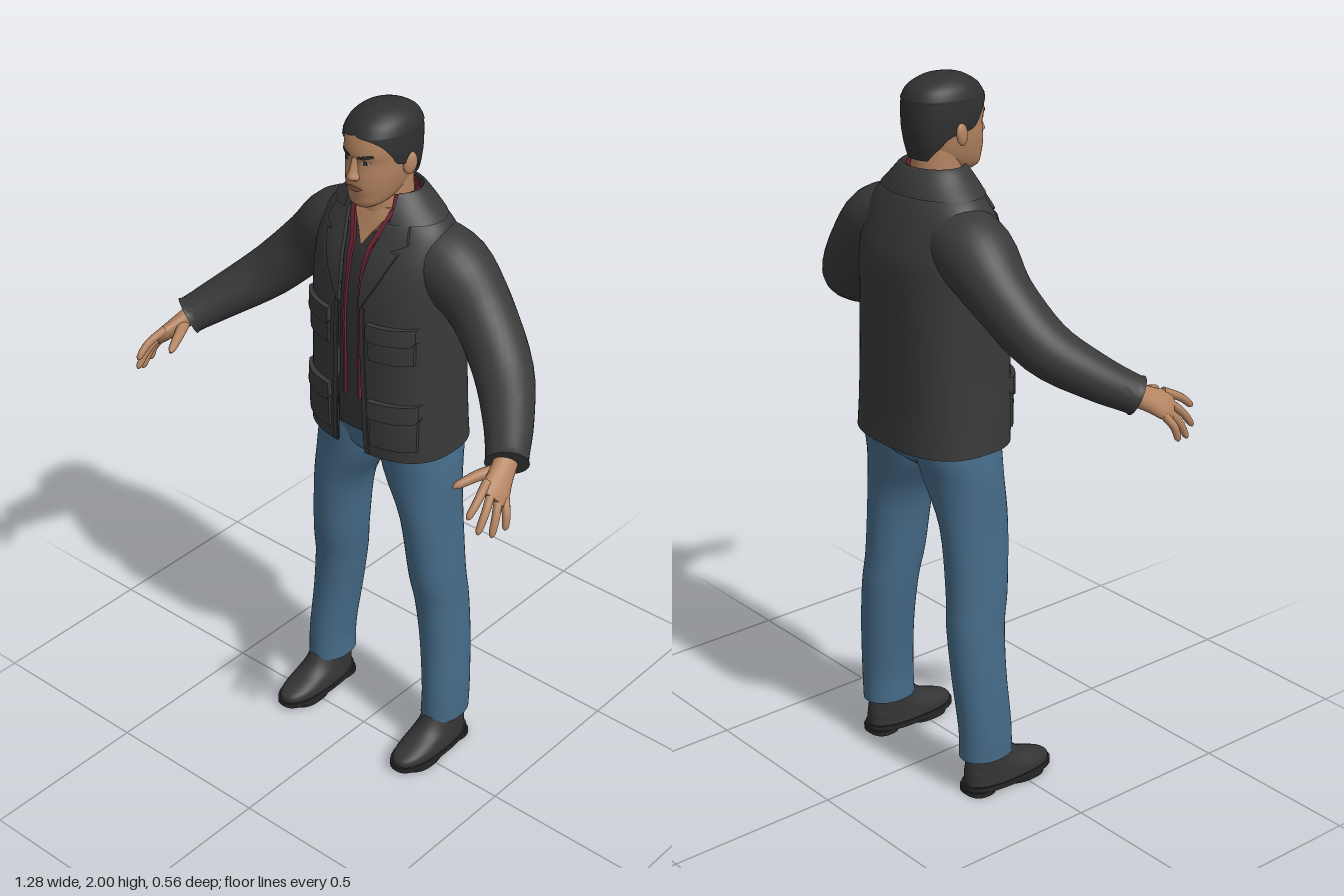
import * as THREE from 'three';
import { toCreasedNormals } from 'three/addons/utils/BufferGeometryUtils.js';

const V = (x, y, z) => new THREE.Vector3(x, y, z);
const material = (name, color, side = THREE.FrontSide) => {
  const m = new THREE.MeshStandardMaterial({ color, side });
  m.name = name;
  return m;
};

// Smoothly resample rows of numbers, k steps between neighbours
function smooth(rows, k = 4) {
  const n = rows[0].length;
  const curve = new THREE.CubicInterpolant(rows.map((_, i) => i), Float32Array.from(rows.flat()), n);
  const out = [];
  for (let i = 0; i <= (rows.length - 1) * k; i++) out.push(Array.from(curve.evaluate(i / k)));
  return out;
}

// Horizontal superellipse ring from [y, zFront, zBack, halfWidth, power], open by angle t0 at the front
function ring([y, zf, zb, rx, p = 2], t0 = 0, cx = 0, n = 40) {
  const pw = (v) => Math.sign(v) * Math.abs(v) ** (2 / p);
  const pts = [];
  for (let j = 0; j < n; j++) {
    const t = t0 > 0 ? t0 + (2 * Math.PI - 2 * t0) * j / (n - 1) : 2 * Math.PI * j / n;
    pts.push(V(cx + rx * pw(Math.sin(t)), y, (zf + zb) / 2 + (zf - zb) / 2 * pw(Math.cos(t))));
  }
  return pts;
}

// Rings across a path of [x, y, z, radiusA, radiusB]; radiusA lies along ref
function pathRings(path, ref, n = 20, k = 4) {
  const rows = smooth(path, k);
  return rows.map((r, i) => {
    const a = rows[Math.max(i - 1, 0)], b = rows[Math.min(i + 1, rows.length - 1)];
    const d = V(b[0] - a[0], b[1] - a[1], b[2] - a[2]).normalize();
    const u = ref.clone().addScaledVector(d, -ref.dot(d)).normalize();
    const v = d.clone().cross(u);
    return Array.from({ length: n }, (_, j) => {
      const t = 2 * Math.PI * j / n;
      return V(r[0], r[1], r[2]).addScaledVector(u, r[3] * Math.cos(t)).addScaledVector(v, r[4] * Math.sin(t));
    });
  });
}

// Skin over rings, optionally closed around and capped
function loft(rings, { closed = true, caps = true, crease = 0 } = {}) {
  const n = rings[0].length, pts = rings.flat(), idx = [];
  const m = closed ? n : n - 1;
  for (let i = 0; i < rings.length - 1; i++) for (let j = 0; j < m; j++) {
    const a = i * n + j, b = i * n + (j + 1) % n;
    idx.push(a, b, b + n, a, b + n, a + n);
  }
  if (caps) [rings[0], rings[rings.length - 1]].forEach((r, end) => {
    const s = pts.length;
    const c = r.reduce((sum, p) => sum.add(p), V(0, 0, 0)).divideScalar(n);
    pts.push(...r, c);
    for (let j = 0; j < n; j++) {
      const a = s + j, b = s + (j + 1) % n;
      idx.push(s + n, end ? a : b, end ? b : a);
    }
  });
  const g = new THREE.BufferGeometry().setFromPoints(pts);
  g.setIndex(idx);
  g.computeVertexNormals();
  return crease ? toCreasedNormals(g, crease) : g;
}

// Front depth of a body made of ring rows at a given x, y
function zAt(rows, x, y) {
  let i = 0;
  while (i < rows.length - 2 && rows[i + 1][0] < y) i++;
  const f = THREE.MathUtils.clamp((y - rows[i][0]) / (rows[i + 1][0] - rows[i][0]), 0, 1);
  const [, zf, zb, rx, p] = rows[i].map((v, c) => v + (rows[i + 1][c] - v) * f);
  const q = Math.min(Math.abs(x) / rx, 0.98);
  return (zf + zb) / 2 + (zf - zb) / 2 * (1 - q ** p) ** (1 / p);
}

// Thin panel lying on a body; rows are [y, x0, x1] going up
function panelRings(body, rows, lift, depth, cols = 7) {
  const out = [];
  for (let i = 0; i < rows.length - 1; i++) for (let s = i ? 1 : 0; s <= 4; s++) {
    const [y, x0, x1] = rows[i].map((v, c) => v + (rows[i + 1][c] - v) * s / 4);
    const line = (h) => Array.from({ length: cols }, (_, j) => {
      const x = x0 + (x1 - x0) * j / (cols - 1);
      return V(x, y, zAt(body, x, y) + h);
    });
    out.push([...line(lift), ...line(lift - depth).reverse()]);
  }
  return out;
}

export function createModel() {
  const model = new THREE.Group();
  model.name = 'standingMan';
  const skin = material('skin', 0xb38360), hair = material('hair', 0x303031, THREE.DoubleSide);
  const cloth = material('jacketCloth', 0x393939, THREE.DoubleSide), shirt = material('darkShirt', 0x343333);
  const red = material('redLining', 0x6e2534, THREE.DoubleSide), denim = material('denim', 0x456a87);
  const leather = material('shoeLeather', 0x353434), rubber = material('soleRubber', 0x272626);
  const white = material('eyeWhite', 0xb8aaa0), lip = material('lips', 0x94614c);

  const add = (name, rings, mat, opts) => {
    const mesh = new THREE.Mesh(loft(rings, opts), mat);
    mesh.name = name;
    model.add(mesh);
  };
  // Same part on both sides
  const pair = (name, rings, mat, opts) => {
    add(name + 'Left', rings, mat, opts);
    add(name + 'Right', rings.map((r) => r.map((p) => V(-p.x, p.y, p.z)).reverse()), mat, opts);
  };
  const body = (rows, cx = 0) => smooth(rows).map((r) => ring(r, 0, cx));
  const sharp = { crease: 0.7 };

  // Jeans: rows are [centreX, y, centreZ, radiusX, radiusZ]
  const legs = smooth([[0.22, 0.11, -0.11, 0.06, 0.08], [0.22, 0.2, -0.113, 0.06, 0.08], [0.205, 0.36, -0.123, 0.065, 0.081],
    [0.19, 0.5, -0.122, 0.069, 0.085], [0.18, 0.6, -0.11, 0.072, 0.09], [0.16, 0.79, -0.104, 0.077, 0.1],
    [0.122, 0.92, -0.11, 0.109, 0.108], [0.11, 1.0, -0.118, 0.112, 0.118], [0.105, 1.08, -0.118, 0.1, 0.118]]);
  pair('jeansLeg', legs.map(([x, y, z, a, b]) => ring([y, z + b, z - b, a, 2.15], 0, x)), denim);
  add('jeansHips', body([[0.93, -0.06, -0.17, 0.05, 2], [0.97, -0.015, -0.22, 0.165, 2.2],
    [1.02, 0, -0.237, 0.207, 2.4], [1.1, 0.025, -0.24, 0.205, 2.4]]), denim);

  // Shoes
  pair('shoeUpper', body([[0.025, 0.11, -0.18, 0.057, 2.4], [0.045, 0.104, -0.18, 0.056, 2.3], [0.062, 0.065, -0.18, 0.054, 2.2],
    [0.08, 0.02, -0.178, 0.052, 2], [0.1, -0.01, -0.175, 0.05, 2], [0.13, -0.035, -0.17, 0.048, 2]], 0.222), leather);
  const slab = (y0, y1, zf, zb, rx) => [ring([y0, zf, zb, rx, 2.5], 0, 0.222), ring([y1, zf, zb, rx, 2.5], 0, 0.222)];
  pair('shoeSole', slab(0.012, 0.028, 0.115, -0.185, 0.061), rubber, sharp);
  pair('shoeHeel', slab(0, 0.014, -0.095, -0.185, 0.05), rubber, sharp);
  pair('shoeTread', slab(0, 0.014, 0.085, -0.06, 0.058), rubber, sharp);

  // Jacket body: last number is the half width of the front opening
  const coat = smooth([[1.015, 0.052, -0.28, 0.226, 2.6, 0.048], [1.1, 0.057, -0.276, 0.222, 2.6, 0.044],
    [1.25, 0.058, -0.274, 0.215, 2.6, 0.04], [1.42, 0.06, -0.274, 0.211, 2.6, 0.036], [1.53, 0.05, -0.272, 0.212, 2.5, 0.036],
    [1.6, 0.032, -0.255, 0.207, 2.4, 0.045], [1.66, 0.005, -0.235, 0.193, 2.2, 0.058], [1.7, -0.012, -0.217, 0.163, 2, 0.068],
    [1.735, -0.03, -0.195, 0.105, 2, 0.07]]);
  const openRing = (r) => ring(r, Math.asin((r[5] / r[3]) ** (r[4] / 2)), 0, 56);
  const openOpts = { closed: false, caps: false };
  add('jacketBody', coat.map(openRing), cloth, openOpts);
  add('jacketCollar', smooth([[1.7, 0.002, -0.224, 0.168, 2, 0.075], [1.735, -0.012, -0.21, 0.128, 2, 0.075],
    [1.765, -0.03, -0.19, 0.099, 2, 0.07], [1.762, -0.034, -0.182, 0.091, 2, 0.07],
    [1.7, -0.03, -0.185, 0.095, 2, 0.07]]).map(openRing), cloth, openOpts);
  const up = V(0, 1, 0);
  pair('jacketSleeve', pathRings([[0.1, 1.6, -0.125, 0.095, 0.1], [0.2, 1.563, -0.13, 0.102, 0.106],
    [0.3, 1.475, -0.125, 0.083, 0.088], [0.41, 1.363, -0.078, 0.074, 0.08], [0.5, 1.288, 0.012, 0.061, 0.066],
    [0.555, 1.243, 0.085, 0.052, 0.056], [0.566, 1.234, 0.1, 0.054, 0.058]], up, 32), cloth, sharp);

  // Lapels, pockets and flaps
  pair('lapel', panelRings(coat, [[1.47, 0.035, 0.04], [1.55, 0.037, 0.085], [1.632, 0.05, 0.12], [1.638, 0.051, 0.1],
    [1.655, 0.056, 0.135], [1.705, 0.068, 0.12]], 0.009, 0.014), cloth, sharp);
  const box = (y0, y1, x0, x1) => [[y0, x0, x1], [y1, x0, x1]];
  pair('chestPocket', panelRings(coat, box(1.325, 1.42, 0.07, 0.182), 0.009, 0.02), cloth, sharp);
  pair('chestFlap', panelRings(coat, [[1.385, 0.075, 0.178], [1.395, 0.066, 0.187], [1.435, 0.066, 0.187]], 0.016, 0.025), cloth, sharp);
  pair('hipPocket', panelRings(coat, box(1.055, 1.185, 0.072, 0.192), 0.009, 0.02), cloth, sharp);
  pair('hipFlap', panelRings(coat, [[1.145, 0.076, 0.188], [1.155, 0.068, 0.196], [1.2, 0.068, 0.196]], 0.016, 0.025), cloth, sharp);
  pair('frontEdge', panelRings(coat, [[1.018, 0.05, 0.064], [1.25, 0.041, 0.055], [1.47, 0.037, 0.05]], 0.004, 0.012), cloth, sharp);

  // Shirt with red edging and collar
  add('shirtBody', coat.filter((r) => r[0] > 1.06 && r[0] < 1.67)
    .map(([y, zf, zb, rx, p]) => ring([y, zf - 0.014, zb + 0.014, rx - 0.014, p])), shirt);
  pair('shirtEdging', panelRings(coat, [[1.18, 0.022, 0.028], [1.4, 0.022, 0.028], [1.55, 0.02, 0.028],
    [1.63, 0.024, 0.037], [1.7, 0.05, 0.068], [1.725, 0.058, 0.074]], -0.006, 0.009), red, sharp);
  add('shirtCollar', smooth([[1.69, -0.02, -0.182, 0.09, 2, 0.055], [1.765, -0.032, -0.175, 0.082, 2, 0.058]]).map(openRing), red, openOpts);
  add('openNeckline', panelRings(coat, [[1.625, -0.001, 0.001], [1.66, -0.022, 0.022], [1.7, -0.05, 0.05],
    [1.725, -0.055, 0.055]], -0.009, 0.02), skin, sharp);

  // Neck and head
  add('neck', body([[1.62, -0.02, -0.17, 0.07, 2], [1.7, -0.024, -0.172, 0.068, 2], [1.76, -0.03, -0.168, 0.064, 2],
    [1.82, -0.03, -0.165, 0.062, 2]]), skin);
  const head = smooth([[1.738, 0.018, -0.05, 0.028, 2.2], [1.752, 0.032, -0.09, 0.048, 2.2], [1.775, 0.036, -0.13, 0.061, 2.2],
    [1.8, 0.04, -0.155, 0.069, 2.2], [1.83, 0.039, -0.165, 0.075, 2.2], [1.87, 0.035, -0.175, 0.079, 2.2],
    [1.895, 0.041, -0.18, 0.08, 2.2], [1.94, 0.03, -0.18, 0.08, 2.2], [1.97, 0.005, -0.16, 0.065, 2.1],
    [1.988, -0.04, -0.11, 0.025, 2]]);
  add('head', head.map((r) => ring(r)), skin);
  add('nose', body([[1.82, 0.044, 0.015, 0.012, 2], [1.831, 0.061, 0.015, 0.018, 2], [1.85, 0.055, 0.015, 0.011, 2],
    [1.887, 0.041, 0.015, 0.008, 2]]), skin);

  // Short hair: last number is the angle where it starts beside the face
  add('hair', smooth([[1.785, -0.03, -0.174, 0.067, 2.2, 2.5], [1.82, 0, -0.184, 0.078, 2.2, 2.1],
    [1.848, 0.02, -0.189, 0.084, 2.2, 1.8], [1.862, 0.032, -0.192, 0.086, 2.2, 1.25], [1.89, 0.044, -0.194, 0.088, 2.2, 1.1],
    [1.918, 0.043, -0.194, 0.088, 2.2, 0.85], [1.935, 0.04, -0.193, 0.087, 2.2, 0.5], [1.945, 0.036, -0.192, 0.086, 2.2, 0],
    [1.97, 0.018, -0.177, 0.075, 2.1, 0], [1.991, -0.018, -0.138, 0.048, 2, 0], [2, -0.055, -0.1, 0.014, 2, 0]])
    .map((r) => ring(r, Math.max(r[5], 0.001), 0, 48)), hair, { closed: false });

  // Ears
  for (const s of [1, -1]) {
    const ear = new THREE.Mesh(new THREE.SphereGeometry(1, 16, 12), skin);
    ear.name = s > 0 ? 'earLeft' : 'earRight';
    ear.scale.set(0.011, 0.031, 0.021);
    ear.position.set(s * 0.085, 1.852, -0.082);
    ear.rotation.set(-0.15, s * -0.3, 0);
    model.add(ear);
  }

  // Painted face details
  pair('eye', panelRings(head, [[1.868, 0.028, 0.034], [1.872, 0.02, 0.044], [1.878, 0.025, 0.04]], 0.002, 0.006), white, sharp);
  pair('iris', panelRings(head, box(1.869, 1.878, 0.027, 0.036), 0.0035, 0.006), hair, sharp);
  pair('eyebrow', panelRings(head, [[1.884, 0.014, 0.03], [1.89, 0.014, 0.05], [1.896, 0.034, 0.05]], 0.002, 0.006), hair, sharp);
  add('mouth', panelRings(head, [[1.791, -0.012, 0.012], [1.799, -0.026, 0.026], [1.805, -0.012, 0.012]], 0.003, 0.008), lip, sharp);

  // Hands: palm, four fingers and thumb
  const across = V(0.045, -0.055, -0.05).normalize();
  pair('palm', pathRings([[0.556, 1.243, 0.085, 0.033, 0.028], [0.575, 1.218, 0.135, 0.036, 0.023],
    [0.59, 1.197, 0.175, 0.043, 0.019], [0.597, 1.186, 0.197, 0.038, 0.012]], across), skin);
  const index = V(0.573, 1.218, 0.2), little = V(0.612, 1.168, 0.163);
  [[0.585, 1.165, 0.282], [0.606, 1.12, 0.266], [0.623, 1.1, 0.23], [0.634, 1.106, 0.188]].forEach((t, i) => {
    const b = index.clone().lerp(little, i / 3), tip = V(...t);
    const at = (f, arch, r) => {
      const p = b.clone().lerp(tip, f);
      return [p.x + arch, p.y + arch, p.z + arch * 0.5, r, r];
    };
    pair('finger' + (i + 1), pathRings([at(-0.15, 0, 0.012), at(0.45, 0.006, 0.011), at(0.88, 0.002, 0.009), at(1, 0, 0.003)], across, 12), skin);
  });
  pair('thumb', pathRings([[0.56, 1.225, 0.12, 0.017, 0.017], [0.533, 1.219, 0.168, 0.015, 0.015],
    [0.509, 1.206, 0.22, 0.011, 0.011], [0.502, 1.2, 0.236, 0.004, 0.004]], across, 12), skin);

  return model;
}
